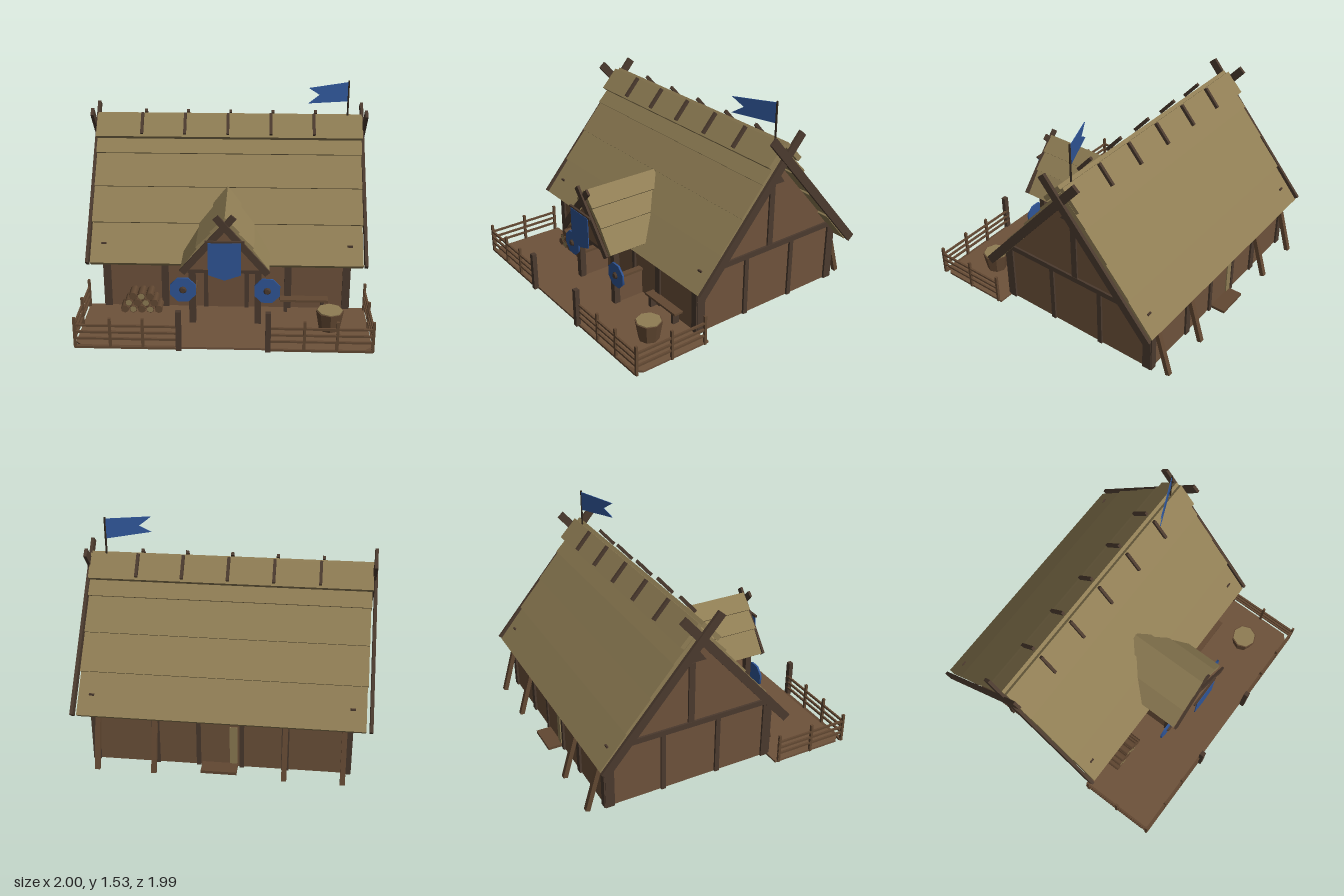
import * as THREE from 'three';

const mat = (name, color, side = THREE.FrontSide) => {
  const m = new THREE.MeshStandardMaterial({ color, side });
  m.name = name;
  return m;
};

export function createModel() {
  const thatch = mat('thatch', 0x8f7d54);
  const plank = mat('plank brown', 0x6e523b);
  const timber = mat('dark timber', 0x4b3a2e);
  const wood = mat('aged wood', 0x624832);
  const blue = mat('blue cloth', 0x2f5597, THREE.DoubleSide);
  const iron = mat('pole dark', 0x33291f);

  const root = new THREE.Group();
  root.name = 'longhouse';

  const add = (parent, name, geo, m, x = 0, y = 0, z = 0) => {
    const mesh = new THREE.Mesh(geo, m);
    mesh.name = name;
    mesh.position.set(x, y, z);
    parent.add(mesh);
    return mesh;
  };
  const box = (parent, name, m, w, h, d, x, y, z) =>
    add(parent, name, new THREE.BoxGeometry(w, h, d), m, x, y, z);

  // Bar in the local XY plane from a to b; off shifts it along the normal on its right
  const bar = (parent, name, m, a, b, width, depth, z, off = 0) => {
    const dx = b[0] - a[0], dy = b[1] - a[1], len = Math.hypot(dx, dy);
    const mesh = box(parent, name, m, len, width, depth,
      (a[0] + b[0]) / 2 + (dy / len) * off, (a[1] + b[1]) / 2 - (dx / len) * off, z);
    mesh.rotation.z = Math.atan2(dy, dx);
    return mesh;
  };
  const plate = (parent, name, m, pts, depth, x = 0, y = 0, z = 0) => {
    const shape = new THREE.Shape(pts.map(p => new THREE.Vector2(p[0], p[1])));
    const geo = new THREE.ExtrudeGeometry(shape, { depth, bevelEnabled: false });
    geo.translate(0, 0, -depth / 2);
    return add(parent, name, geo, m, x, y, z);
  };
  // Thatch courses on both slopes: each is [low outer corner, high outer corner, z start, z end]
  const courses = (parent, name, list, t) => {
    for (const s of [1, -1]) for (const [a, b, z0, z1] of list)
      bar(parent, name, thatch, [a[0] * s, a[1]], [b[0] * s, b[1]], t, z1 - z0, (z0 + z1) / 2, -s * t / 2);
  };

  // Main house frame: local x runs to the front, local z runs along the ridge
  const house = new THREE.Group();
  house.name = 'house';
  house.position.z = -0.23;
  house.rotation.y = -Math.PI / 2;
  root.add(house);

  courses(house, 'roofCourse', [
    [[0.70, 0.395], [0.50, 0.632], -0.955, 0.955],
    [[0.52, 0.63], [0.33, 0.845], -0.96, 0.96],
    [[0.35, 0.84], [0.17, 1.045], -0.96, 0.96],
    [[0.19, 1.04], [0.0, 1.24], -0.965, 0.965],
  ], 0.05);
  courses(house, 'ridgeCap', [[[0.145, 1.15], [0.02, 1.285], -0.97, 0.97]], 0.035);

  // Ridge cleats
  for (let i = -2; i <= 2; i++) for (const s of [1, -1])
    bar(house, 'ridgeCleat', timber, [s * 0.148, 1.172], [s * 0.038, 1.298], 0.024, 0.02, i * 0.313 + s * 0.008);

  for (const e of [1, -1]) {
    // Gable wall with its frame and crossed bargeboards
    plate(house, 'gableWall', plank,
      [[-0.62, 0.02], [0.62, 0.02], [0.62, 0.43], [0, 1.15], [-0.62, 0.43]], 0.02, 0, 0, e * 0.85);
    for (const [u, w] of [[0.6, 0.064], [0.207, 0.034], [-0.207, 0.034], [-0.6, 0.064]])
      box(house, 'gablePost', timber, w, 0.45, 0.05, u, 0.245, e * 0.85);
    box(house, 'gableBeam', timber, 1.2, 0.04, 0.05, 0, 0.475, e * 0.85);
    box(house, 'kingPost', timber, 0.045, 0.45, 0.045, 0, 0.72, e * 0.85);
    plate(house, 'gablePeak', timber, [[-0.1, 0.95], [0.1, 0.95], [0, 1.09]], 0.03, 0, 0, e * 0.86);
    for (const s of [1, -1])
      bar(house, 'bargeboard', timber, [s * 0.685, 0.381], [s * -0.133, 1.33], 0.06, 0.022, e * (0.982 - s * 0.006));
  }

  // Long walls, posts and plates
  for (const z of [0.385, -0.845]) {
    box(root, 'longWall', plank, 1.72, 0.42, 0.02, 0, 0.23, z);
    box(root, 'wallPlate', timber, 1.7, 0.04, 0.04, 0, 0.41, z);
    for (const x of [-0.845, -0.435, 0.435, 0.845])
      box(root, 'wallPost', timber, 0.05, 0.38, 0.05, x, 0.21, z);
    // Doorway
    for (const s of [1, -1]) box(root, 'doorJamb', timber, 0.03, 0.36, 0.05, s * 0.145, 0.2, z);
    box(root, 'doorLintel', timber, 0.32, 0.03, 0.05, 0, 0.365, z);
    box(root, 'door', plank, 0.26, 0.32, 0.032, 0, 0.19, z);
  }
  box(root, 'backStep', wood, 0.24, 0.02, 0.11, 0, 0.035, -0.915);
  box(root, 'hangingHide', thatch, 0.05, 0.28, 0.008, -0.09, 0.19, -0.868);

  // Leaning braces at the back
  for (const x of [-0.82, -0.435, 0.435, 0.82])
    bar(house, 'backBrace', wood, [-0.745, 0.01], [-0.63, 0.4], 0.032, 0.034, -x);

  // Small roof pegs
  for (const x of [-0.865, 0.865]) for (const z of [0.38, -0.84])
    box(root, 'roofPeg', timber, 0.035, 0.012, 0.012, x, 0.505, z);

  // Deck with clipped front corners
  const deck = plate(root, 'deck', plank,
    [[-0.98, -0.39], [-0.98, -0.92], [-0.93, -0.965], [0.93, -0.965], [0.98, -0.92], [0.98, -0.39]], 0.015, 0, 0.022, 0);
  deck.rotation.x = -Math.PI / 2;

  // Entrance porch
  const porch = new THREE.Group();
  porch.name = 'porch';
  root.add(porch);
  courses(porch, 'porchRoofCourse', [
    [[0.30, 0.465], [0.17, 0.64], 0.28, 0.70],
    [[0.195, 0.63], [0.0, 0.825], 0.14, 0.705],
    [[0.10, 0.745], [0.0, 0.845], 0.12, 0.71],
  ], 0.03);
  plate(porch, 'porchGable', plank, [[-0.25, 0.46], [0.25, 0.46], [0, 0.76]], 0.02, 0, 0, 0.68);
  box(porch, 'porchBeam', timber, 0.5, 0.035, 0.05, 0, 0.45, 0.66);
  for (const s of [1, -1]) {
    bar(porch, 'porchBargeboard', timber, [s * 0.287, 0.452], [s * -0.06, 0.855], 0.046, 0.018, 0.722 + s * 0.006);
    box(porch, 'porchPost', timber, 0.045, 0.42, 0.045, s * 0.225, 0.235, 0.62);
    box(porch, 'porchSideBeam', timber, 0.035, 0.035, 0.3, s * 0.235, 0.45, 0.53);
    box(porch, 'porchSidePanel', plank, 0.025, 0.19, 0.2, s * 0.225, 0.125, 0.5);
    box(porch, 'porchSideRail', wood, 0.045, 0.018, 0.2, s * 0.225, 0.228, 0.5);

    // Octagonal shields hung on the posts
    const disc = new THREE.CylinderGeometry(0.095, 0.095, 0.014, 8);
    disc.rotateY(Math.PI / 8).rotateX(Math.PI / 2);
    add(porch, 'shield', disc, blue, s * 0.287, 0.29, 0.652);
    const boss = new THREE.CylinderGeometry(0.018, 0.028, 0.016, 8);
    boss.rotateX(Math.PI / 2);
    add(porch, 'shieldBoss', boss, timber, s * 0.287, 0.29, 0.665);
  }
  box(porch, 'bannerBar', timber, 0.26, 0.016, 0.016, 0, 0.688, 0.748);
  plate(porch, 'banner', blue,
    [[-0.11, 0.685], [-0.11, 0.455], [0, 0.415], [0.11, 0.455], [0.11, 0.685]], 0.006, 0, 0, 0.756);

  // Fence around the deck
  const fence = new THREE.Group();
  fence.name = 'fence';
  root.add(fence);
  for (const s of [1, -1]) {
    for (const y of [0.085, 0.132, 0.18]) {
      box(fence, 'frontRail', wood, 0.7, 0.014, 0.014, s * 0.63, y, 0.968);
      box(fence, 'sideRail', wood, 0.014, 0.014, 0.56, s * 0.978, y, 0.69);
    }
    box(fence, 'deckEdge', wood, 0.7, 0.015, 0.025, s * 0.63, 0.022, 0.966);
    box(fence, 'gatePost', timber, 0.036, 0.285, 0.034, s * 0.292, 0.16, 0.98);
    for (const [x, z] of [[0.978, 0.968], [0.978, 0.69], [0.978, 0.42], [0.745, 0.968], [0.53, 0.968]])
      box(fence, 'fencePost', wood, 0.018, 0.22, 0.018, s * x, 0.125, z);
  }

  // Stack of firewood beside the door
  const logs = new THREE.Group();
  logs.name = 'firewood';
  root.add(logs);
  [5, 4, 3].forEach((n, row) => {
    for (let i = 0; i < n; i++) {
      const geo = new THREE.CylinderGeometry(0.029, 0.029, 0.12, 7);
      geo.rotateX(Math.PI / 2);
      const x = -0.715 + i * 0.06 + row * 0.03, y = 0.058 + row * 0.05;
      add(logs, 'log', geo, wood, x, y, 0.455);
      if ((i + row) % 2) add(logs, 'logEnd', new THREE.CircleGeometry(0.024, 7), thatch, x, y, 0.516);
    }
  });

  // Bench against the front wall
  box(root, 'benchSeat', wood, 0.34, 0.016, 0.07, 0.55, 0.12, 0.44);
  for (const x of [0.42, 0.68]) box(root, 'benchLeg', timber, 0.025, 0.09, 0.05, x, 0.072, 0.44);

  // Octagonal tub with a filled top
  const tub = new THREE.CylinderGeometry(0.095, 0.072, 0.135, 8).toNonIndexed();
  tub.computeVertexNormals();
  add(root, 'tub', tub, wood, 0.715, 0.098, 0.685);
  add(root, 'tubFill', new THREE.CylinderGeometry(0.087, 0.087, 0.006, 8), thatch, 0.715, 0.168, 0.685);

  // Flag on the ridge
  add(root, 'flagPole', new THREE.CylinderGeometry(0.007, 0.007, 0.32, 6), iron, 0.865, 1.38, -0.23);
  const flag = plate(root, 'flag', blue,
    [[0, 1.53], [-0.318, 1.515], [-0.23, 1.457], [-0.318, 1.403], [0, 1.388]], 0.005, 0.862, 0, -0.23);
  flag.rotation.y = 0.4;

  return root;
}
